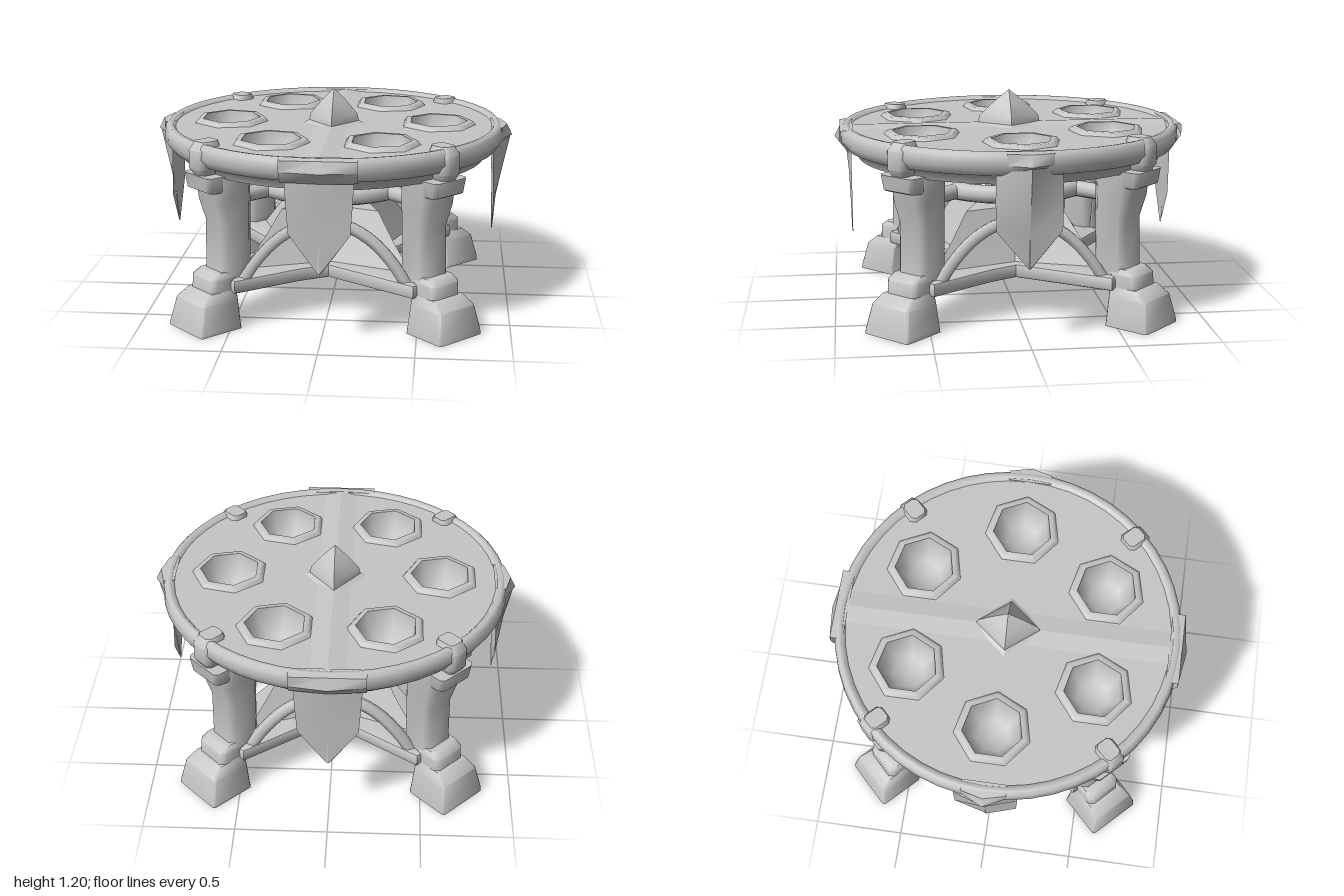
import * as THREE from 'three';
import { toCreasedNormals } from 'three/addons/utils/BufferGeometryUtils.js';

const V2 = (x, y) => new THREE.Vector2(x, y);
const V3 = (x, y, z) => new THREE.Vector3(x, y, z);

// Stacked chamfered-rectangle sections: rows are [y, centre z, width, depth]
function loft(rows, chamfer) {
  const pos = [], idx = [], n = 8;
  for (const [y, z, w, d] of rows) {
    const a = w / 2, b = d / 2, c = Math.min(a, b) * chamfer;
    for (const [px, pz] of [[a, b - c], [a - c, b], [c - a, b], [-a, b - c],
      [-a, c - b], [c - a, -b], [a - c, -b], [a, c - b]]) pos.push(px, y, z + pz);
  }
  for (let r = 0; r < rows.length - 1; r++) {
    for (let i = 0; i < n; i++) {
      const a = r * n + i, b = r * n + (i + 1) % n;
      idx.push(a, a + n, b, b, a + n, b + n);
    }
  }
  const t = (rows.length - 1) * n;
  for (let i = 1; i < n - 1; i++) idx.push(t, t + i + 1, t + i);
  const g = new THREE.BufferGeometry();
  g.setAttribute('position', new THREE.Float32BufferAttribute(pos, 3));
  g.setIndex(idx);
  return toCreasedNormals(g.toNonIndexed(), 0.85);
}

// Folded sheet from rows [y, half width, keel z, edge z]
function sheet(rows, crease) {
  const pos = [], idx = [];
  for (const [y, w, keel, edge] of rows) pos.push(-w, y, edge, 0, y, keel, w, y, edge);
  for (let r = 0; r < rows.length - 1; r++) {
    for (let i = 0; i < 2; i++) {
      const a = r * 3 + i;
      idx.push(a, a + 3, a + 1, a + 1, a + 3, a + 4);
    }
  }
  const g = new THREE.BufferGeometry();
  g.setAttribute('position', new THREE.Float32BufferAttribute(pos, 3));
  g.setIndex(idx);
  return toCreasedNormals(g.toNonIndexed(), crease);
}

export function createModel() {
  const model = new THREE.Group();
  model.name = 'roundTable';
  const stone = new THREE.MeshStandardMaterial({ color: 0xc6c6c6, side: THREE.DoubleSide });
  stone.name = 'paleStone';
  const add = (name, geometry, parent = model) => {
    const mesh = new THREE.Mesh(geometry, stone);
    mesh.name = name;
    parent.add(mesh);
    return mesh;
  };
  const lathe = (pts, seg, crease = 0.6) =>
    toCreasedNormals(new THREE.LatheGeometry(pts.map(p => V2(...p)), seg).toNonIndexed(), crease);

  // Rim and sloping underside
  add('tableRim', lathe([[0, 0.785], [0.54, 0.775], [0.66, 0.82], [0.85, 0.835], [0.87, 0.88],
    [0.92, 0.895], [0.95, 0.94], [0.945, 1.0], [0.925, 1.02], [0.9, 1.015], [0.88, 0.99]], 48, 1));

  // Top surface with six round openings
  const top = new THREE.Shape();
  top.absarc(0, 0, 0.89, 0, Math.PI * 2);
  const cups = [];
  for (let i = 0; i < 6; i++) {
    const a = i * Math.PI / 3;
    cups.push([0.585 * Math.cos(a), 0.585 * Math.sin(a)]);
  }
  for (const [cx, cy] of cups) {
    const pts = [];
    for (let k = 0; k < 7; k++) {
      const a = k / 7 * Math.PI * 2;
      pts.push(V2(cx + 0.165 * Math.cos(a), cy - 0.165 * Math.sin(a)));
    }
    top.holes.push(new THREE.Path(pts));
  }
  const topGeo = new THREE.ShapeGeometry(top, 32);
  topGeo.rotateX(-Math.PI / 2);
  add('tableTop', topGeo).position.y = 1.0;

  // Bowls and their raised collars
  for (const [cx, cy] of cups) {
    const bowl = new THREE.Group();
    bowl.name = 'bowl';
    bowl.position.set(cx, 0, -cy);
    model.add(bowl);
    add('bowlInside', lathe([[0.165, 1.02], [0.15, 0.93], [0.09, 0.87], [0, 0.855]], 7, 1.2), bowl)
      .rotation.y = Math.PI / 2;
    add('bowlCollar', lathe([[0.215, 0.995], [0.195, 1.02], [0.165, 1.022], [0.162, 0.99]], 7, 0.9), bowl)
      .rotation.y = Math.PI / 2;
  }

  // Low roof-shaped ridge across the top from front to back
  const ridgeShape = new THREE.Shape([V2(-0.1, 0), V2(0.1, 0), V2(0, 0.014)]);
  add('topRidge', new THREE.ExtrudeGeometry(ridgeShape, { depth: 1.78, bevelEnabled: false }))
    .position.set(0, 0.999, -0.89);

  // Pointed centre finial
  const finial = lathe([[0.17, 1.0], [0.14, 1.012], [0.133, 1.05], [0.07, 1.125], [0, 1.195]], 4, 0.5);
  finial.scale(1, 1, 1.25);
  add('finial', finial);

  // Rim tabs and drapes on the four sides
  for (let i = 0; i < 4; i++) {
    const side = new THREE.Group();
    side.name = 'drapeSide';
    side.rotation.y = i * Math.PI / 2;
    model.add(side);
    const onX = i % 2 === 1;
    const w = onX ? 0.12 : 0.2, peak = onX ? 1.0 : 0.98, edge = onX ? 0.94 : 0.95;
    add('rimTab', sheet([[1.015, w, 0.88, 0.88], [1.01, w, peak - 0.03, edge],
      [0.95, w, peak, edge], [0.885, w, 0.92, 0.9]], 0.7), side);
    add('drape', sheet(onX
      ? [[0.94, 0.17, 0.99, 0.89], [0.75, 0.175, 0.95, 0.895], [0.6, 0.17, 0.92, 0.9], [0.4, 0.005, 0.905, 0.9]]
      : [[0.92, 0.18, 0.92, 0.89], [0.75, 0.17, 0.905, 0.89], [0.61, 0.16, 0.9, 0.89], [0.4, 0.01, 0.895, 0.89]],
    0.4), side);
  }

  // Legs with feet, collars and rim knobs, on the diagonals
  for (let i = 0; i < 4; i++) {
    const leg = new THREE.Group();
    leg.name = 'legAssembly';
    leg.rotation.y = Math.PI / 4 + i * Math.PI / 2;
    model.add(leg);
    add('foot', loft([[0, 0.91, 0.31, 0.27], [0.025, 0.91, 0.31, 0.26], [0.16, 0.895, 0.26, 0.23],
      [0.21, 0.86, 0.21, 0.18]], 0.08), leg);
    add('legCollar', loft([[0.19, 0.85, 0.21, 0.17], [0.28, 0.845, 0.21, 0.17], [0.31, 0.81, 0.18, 0.17]], 0.3), leg);
    add('leg', loft([[0.21, 0.77, 0.2, 0.2], [0.32, 0.75, 0.2, 0.2], [0.58, 0.745, 0.2, 0.2],
      [0.7, 0.765, 0.23, 0.23], [0.84, 0.775, 0.25, 0.23]], 0.35), leg);
    add('legBracket', loft([[0.76, 0.82, 0.21, 0.2], [0.77, 0.83, 0.22, 0.22], [0.85, 0.84, 0.24, 0.22]], 0.2), leg);
    add('rimKnob', loft([[0.835, 0.87, 0.08, 0.12], [0.885, 0.885, 0.13, 0.15], [0.985, 0.885, 0.13, 0.15],
      [1.028, 0.875, 0.09, 0.11]], 0.4), leg);
  }

  // Cross-shaped lower shelf with an arm to each leg
  const outline = [];
  for (let i = 0; i < 4; i++) {
    const a = Math.PI / 4 + i * Math.PI / 2;
    for (const [r, s] of [[0.79, -0.12], [0.79, 0.12], [0.4, 0.18], [0.23, 0.23]]) {
      outline.push(V2(r * Math.cos(a) - s * Math.sin(a), r * Math.sin(a) + s * Math.cos(a)));
    }
  }
  const shelf = new THREE.ExtrudeGeometry(new THREE.Shape(outline), {
    depth: 0.04, bevelEnabled: true, bevelThickness: 0.02, bevelSize: 0.02, bevelSegments: 2 });
  shelf.rotateX(-Math.PI / 2);
  add('shelf', toCreasedNormals(shelf, 0.6)).position.y = 0.21;

  // Inner base: a star-plan pillar, drawn in between its four diagonal wings
  const base = new THREE.LatheGeometry([V2(0.66, 0.26), V2(0.5, 0.42), V2(0.38, 0.56), V2(0, 0.58)], 8);
  const p = base.attributes.position;
  for (let i = 0; i < p.count; i++) {
    const k = 0.45 + 0.55 * Math.abs(Math.sin(2 * Math.atan2(p.getX(i), p.getZ(i))));
    p.setXYZ(i, p.getX(i) * k, p.getY(i), p.getZ(i) * k);
  }
  add('innerBase', toCreasedNormals(base.toNonIndexed(), 0.5));

  // Arched braces between neighbouring legs
  const half = [[0.46, 0.22, 0.59], [0.36, 0.37, 0.58], [0.24, 0.49, 0.565], [0.1, 0.56, 0.555]];
  const arch = new THREE.CatmullRomCurve3([...half.map(([x, y, z]) => V3(-x, y, z)),
    ...half.reverse().map(([x, y, z]) => V3(x, y, z))]);
  for (let i = 0; i < 4; i++) {
    add('archBrace', new THREE.TubeGeometry(arch, 24, 0.034, 6)).rotation.y = i * Math.PI / 2;
  }

  // Ring under the top, linked to each leg
  const ring = new THREE.TorusGeometry(0.46, 0.05, 8, 32);
  ring.rotateX(Math.PI / 2);
  add('supportRing', ring).position.y = 0.69;
  for (let i = 0; i < 4; i++) {
    const link = new THREE.CylinderGeometry(0.045, 0.045, 0.24, 8);
    link.rotateX(Math.PI / 2).translate(0, 0.69, 0.58);
    add('ringLink', link).rotation.y = Math.PI / 4 + i * Math.PI / 2;
  }

  return model;
}
